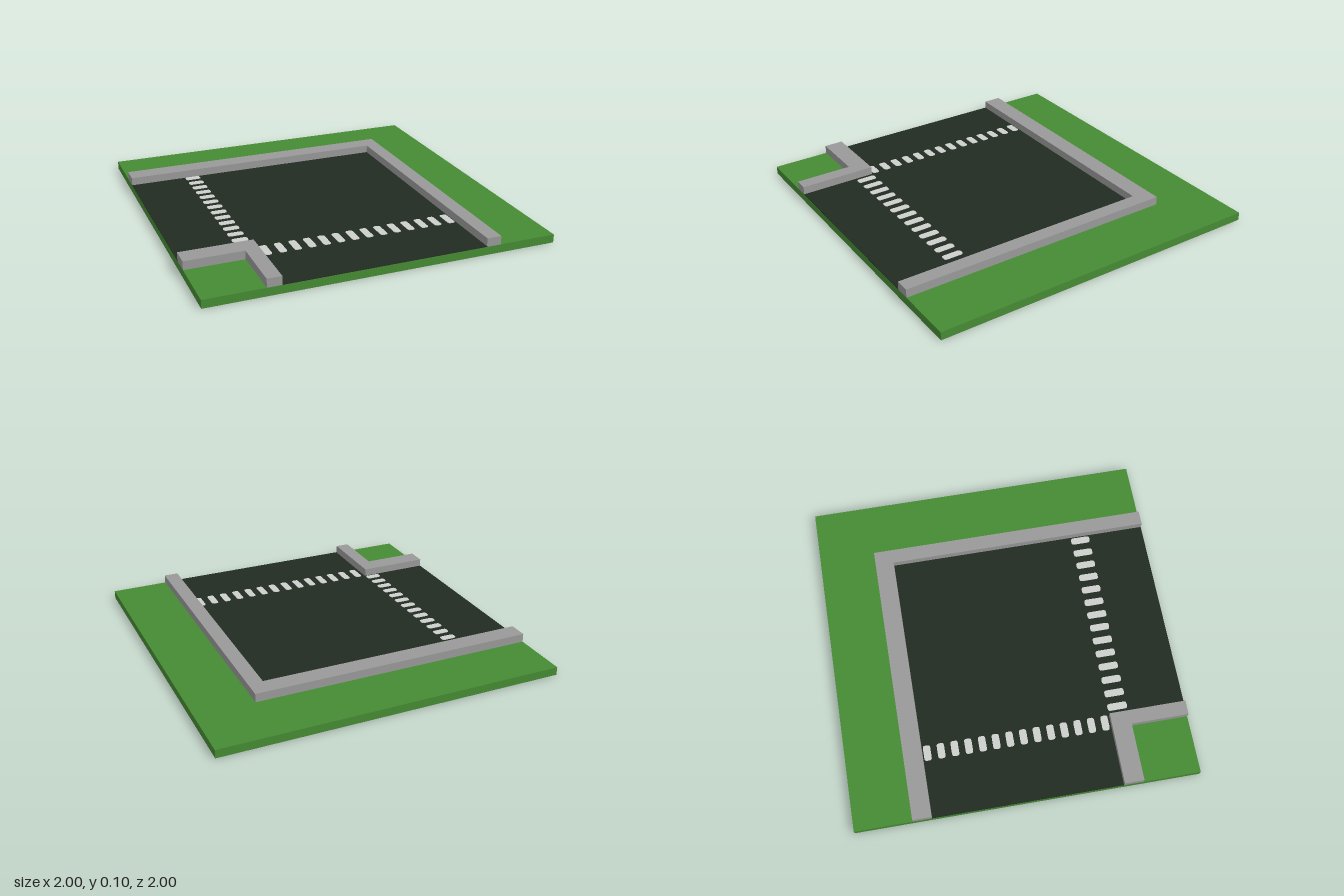
import * as THREE from 'three';

const material = (name, color) => {
  const m = new THREE.MeshStandardMaterial({ color });
  m.name = name;
  return m;
};

// Flat slab from an outline of [x, z] points, spanning bottom..top in y
function slab(shape, bottom, top) {
  const g = new THREE.ExtrudeGeometry(shape, { depth: top - bottom, bevelEnabled: false, curveSegments: 3 });
  g.rotateX(Math.PI / 2);
  g.translate(0, top, 0);
  return g;
}
const outline = (points) => new THREE.Shape(points.map(([x, z]) => new THREE.Vector2(x, z)));

// Rounded rectangle centred on the origin
function roundedRect(w, d, r) {
  const x = w / 2, y = d / 2, s = new THREE.Shape();
  s.moveTo(-x + r, -y);
  s.lineTo(x - r, -y);
  s.quadraticCurveTo(x, -y, x, -y + r);
  s.lineTo(x, y - r);
  s.quadraticCurveTo(x, y, x - r, y);
  s.lineTo(-x + r, y);
  s.quadraticCurveTo(-x, y, -x, y - r);
  s.lineTo(-x, -y + r);
  s.quadraticCurveTo(-x, -y, -x + r, -y);
  return s;
}

export function createModel() {
  const model = new THREE.Group();
  model.name = 'roadCorner';
  const grass = material('grass green', 0x468b34);
  const asphalt = material('asphalt', 0x222b22);
  const concrete = material('concrete grey', 0x999999);
  const paint = material('marking white', 0xcdcfcd);

  const add = (parent, name, geometry, mat) => {
    const mesh = new THREE.Mesh(geometry, mat);
    mesh.name = name;
    parent.add(mesh);
    return mesh;
  };

  const ground = 0.048, road = 0.052, curbTop = 0.098;

  // Grass base
  const base = new THREE.BoxGeometry(2, ground, 2);
  base.translate(0, ground / 2, 0);
  add(model, 'grassBase', base, grass);

  // Road surface turning from the left edge to the front edge
  add(model, 'roadSurface', slab(outline([
    [-1, -0.555], [0.58, -0.555], [0.58, 1], [-0.58, 1], [-0.58, 0.55], [-1, 0.55],
  ]), ground, road), asphalt);

  // Curbs
  add(model, 'outerCurb', slab(outline([
    [-1, -0.665], [0.663, -0.665], [0.663, 1], [0.578, 1], [0.578, -0.555], [-1, -0.555],
  ]), ground, curbTop), concrete);
  add(model, 'innerCurb', slab(outline([
    [-1, 0.55], [-0.583, 0.55], [-0.583, 1], [-0.665, 1], [-0.665, 0.663], [-1, 0.663],
  ]), ground, curbTop), concrete);

  // Crosswalk stripes
  const sideStripe = slab(roundedRect(0.09, 0.043, 0.015), road, road + 0.003);
  const frontStripe = slab(roundedRect(0.042, 0.116, 0.015), road, road + 0.003);
  const sideCrosswalk = new THREE.Group();
  sideCrosswalk.name = 'sideCrosswalk';
  const frontCrosswalk = new THREE.Group();
  frontCrosswalk.name = 'frontCrosswalk';
  model.add(sideCrosswalk, frontCrosswalk);
  for (let i = 0; i < 14; i++) {
    add(sideCrosswalk, 'sideStripe', sideStripe, paint).position.set(-0.625, 0, -0.527 + i * 0.0804);
    add(frontCrosswalk, 'frontStripe', frontStripe, paint).position.set(-0.537 + i * 0.0836, 0, 0.609);
  }
  return model;
}
